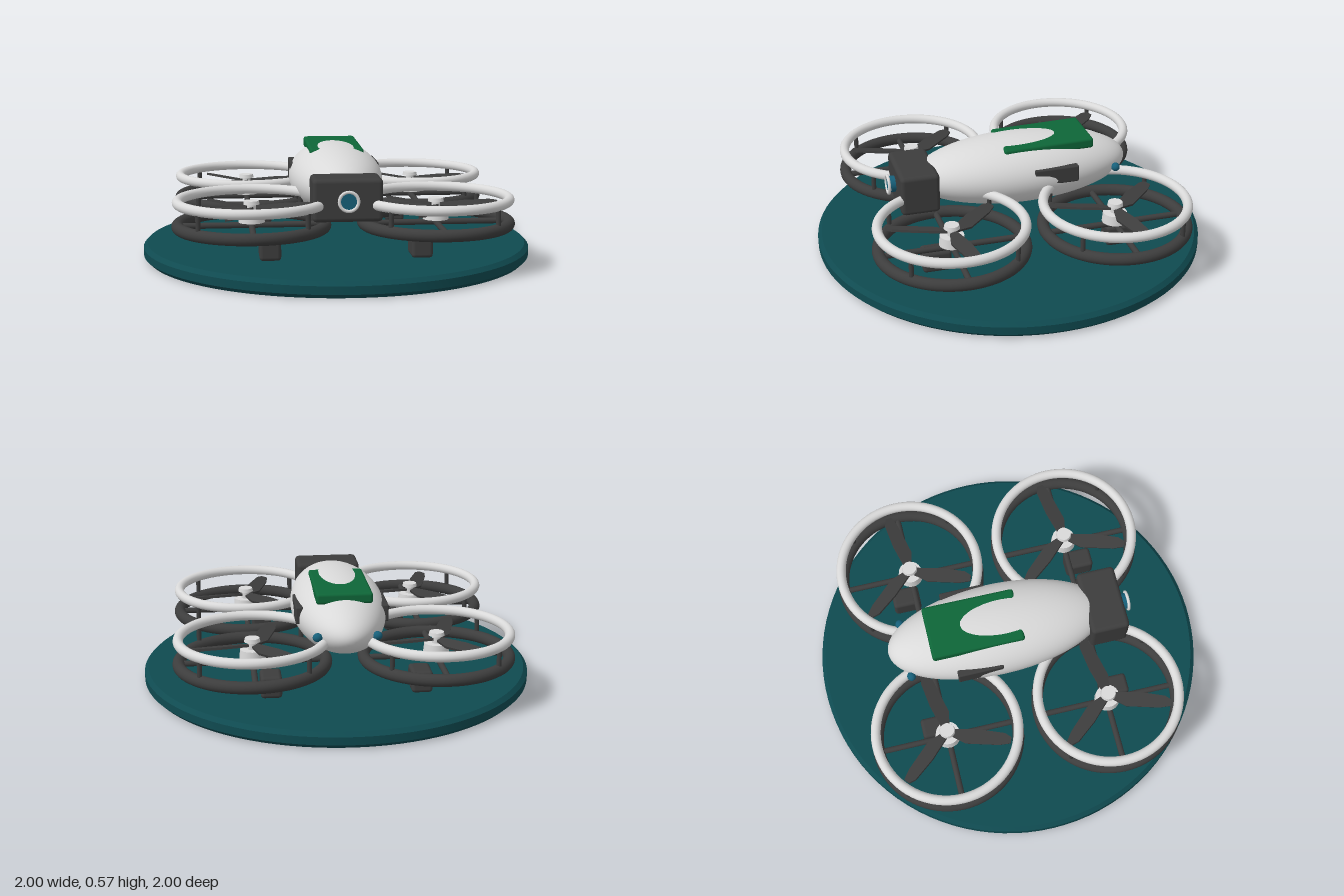
import * as THREE from 'three';
import { toCreasedNormals } from 'three/addons/utils/BufferGeometryUtils.js';
import { RoundedBoxGeometry } from 'three/addons/geometries/RoundedBoxGeometry.js';

function material(name, color) {
  const m = new THREE.MeshStandardMaterial({ color });
  m.name = name;
  return m;
}

export function createModel() {
  const shell = material('light shell', 0xd9d9d9);
  const dark = material('dark grey', 0x3d3d3d);
  const teal = material('deep teal', 0x0f4a50);
  const green = material('green', 0x0e6638);
  const blue = material('lens blue', 0x17607a);

  const model = new THREE.Group();
  model.name = 'drone';

  function add(parent, name, geometry, mat, x = 0, y = 0, z = 0) {
    const mesh = new THREE.Mesh(geometry, mat);
    mesh.name = name;
    mesh.position.set(x, y, z);
    parent.add(mesh);
    return mesh;
  }
  const cyl = (rTop, rBottom, h, n = 24) => new THREE.CylinderGeometry(rTop, rBottom, h, n);
  const box = (w, h, d, r) => new RoundedBoxGeometry(w, h, d, 2, r);

  // Landing pad with bevelled rim
  const rim = [[0, 0], [0.98, 0], [1, 0.02], [1, 0.06], [0.98, 0.08], [0, 0.08]];
  const padGeometry = new THREE.LatheGeometry(rim.map(([x, y]) => new THREE.Vector2(x, y)), 96);
  add(model, 'landingPad', toCreasedNormals(padGeometry, 0.5), teal);

  // Body
  const bodyGeometry = new THREE.SphereGeometry(1, 64, 40);
  bodyGeometry.rotateX(Math.PI / 2);
  bodyGeometry.scale(0.24, 0.175, 0.567);
  add(model, 'body', bodyGeometry, shell, 0, 0.395, -0.063);

  // Battery cover, partly sunk into the back
  const cover = add(model, 'batteryCover', box(0.28, 0.056, 0.475, 0.015), green, 0, 0.531, -0.181);
  cover.rotation.x = 0.02;

  // Camera block and lens
  add(model, 'cameraBlock', box(0.34, 0.21, 0.2, 0.022), dark, 0, 0.378, 0.5);
  add(model, 'lens', cyl(0.042, 0.042, 0.05), blue, 0, 0.38, 0.61).rotation.x = Math.PI / 2;
  add(model, 'lensRing', new THREE.TorusGeometry(0.046, 0.008, 10, 32), shell, 0, 0.38, 0.635);

  // Side vents and tail lights
  for (const s of [-1, 1]) {
    add(model, 'sideVent', box(0.04, 0.088, 0.235, 0.008), dark, s * 0.213, 0.421, -0.193);
    const light = add(model, 'tailLight', new THREE.SphereGeometry(0.022, 20, 14), blue, s * 0.145, 0.385, -0.54);
    light.scale.x = 1.1;
  }

  // Propeller blade outline, root near the hub and tip along +x
  const outline = [[0.02, -0.018], [0.1, -0.045], [0.27, -0.028], [0.325, -0.012],
    [0.325, 0.02], [0.29, 0.036], [0.16, 0.036], [0.02, 0.018]];
  const bladeShape = new THREE.Shape(outline.map(([x, y]) => new THREE.Vector2(x, y)));
  const bladeGeometry = new THREE.ExtrudeGeometry(bladeShape, { depth: 0.012, bevelEnabled: false });
  bladeGeometry.translate(0, 0, -0.006);
  bladeGeometry.rotateX(-Math.PI / 2 + 0.22);

  function ring(parent, name, tube, mat, y) {
    const geometry = new THREE.TorusGeometry(0.36, tube, 16, 72);
    geometry.rotateX(Math.PI / 2);
    add(parent, name, geometry, mat, 0, y, 0);
  }

  // Four ducted rotors
  for (const x of [-0.455, 0.455]) {
    for (const z of [-0.425, 0.415]) {
      const rotor = new THREE.Group();
      rotor.name = 'rotor';
      rotor.position.set(x, 0, z);
      model.add(rotor);

      ring(rotor, 'upperGuard', 0.025, shell, 0.353);
      ring(rotor, 'lowerGuard', 0.03, dark, 0.235);
      for (let i = 0; i < 4; i++) {
        const a = Math.PI / 4 + i * Math.PI / 2;
        add(rotor, 'guardPost', cyl(0.012, 0.012, 0.12, 12), dark,
          0.365 * Math.cos(a), 0.294, 0.365 * Math.sin(a));
      }

      // Crossed support bars
      add(rotor, 'supportBarX', cyl(0.015, 0.015, 0.72, 12), dark, 0, 0.235, 0).rotation.z = Math.PI / 2;
      add(rotor, 'supportBarZ', cyl(0.015, 0.015, 0.72, 12), dark, 0, 0.235, 0).rotation.x = Math.PI / 2;

      // Motor, shaft and hub cap
      add(rotor, 'motor', cyl(0.06, 0.065, 0.05), shell, 0, 0.275, 0);
      add(rotor, 'shaft', cyl(0.022, 0.022, 0.05, 16), shell, 0, 0.32, 0);
      add(rotor, 'hubCap', cyl(0.036, 0.04, 0.018), shell, 0, 0.347, 0);

      for (let i = 0; i < 3; i++) {
        const blade = add(rotor, 'blade', bladeGeometry, dark, 0, 0.318, 0);
        blade.rotation.y = 0.14 + i * Math.PI * 2 / 3;
      }
    }
  }

  // Feet on the pad
  for (const x of [-0.37, 0.37]) {
    for (const z of [-0.475, 0.48]) {
      add(model, 'foot', box(0.105, 0.11, 0.145, 0.018), dark, x, 0.135, z);
    }
  }

  return model;
}
